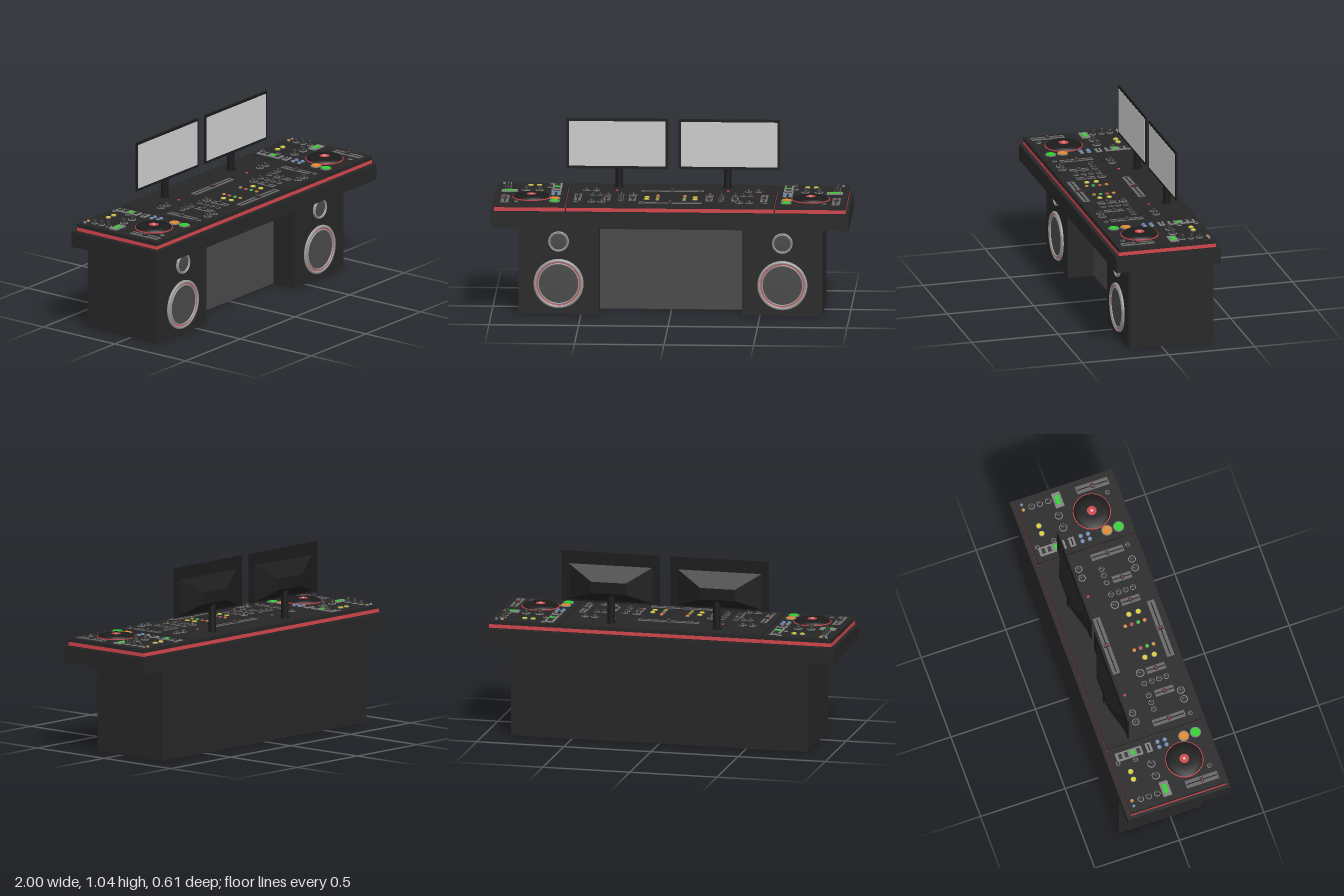
import * as THREE from 'three';

const mats = {};
const mat = (color) => (mats[color] ??= new THREE.MeshStandardMaterial({ color, side: THREE.DoubleSide }));
const DARK = 0x262626, BLACK = 0x1b1b1b, PANEL = 0x484848, GREY = 0x808080, RED = 0xd0454c;
const GREEN = 0x2fd02f, ORANGE = 0xe08a30, YELLOW = 0xd8cf35, BLUE = 0x6a8fc0;
const TOP = 0.647; // height of the control surface

function add(parent, name, geometry, color, x = 0, y = 0, z = 0) {
  const mesh = new THREE.Mesh(geometry, mat(color));
  mesh.name = name;
  mesh.position.set(x, y, z);
  parent.add(mesh);
  return mesh;
}

// Box given by its limits on each axis
function box(parent, name, color, x0, x1, y0, y1, z0, z1) {
  return add(parent, name, new THREE.BoxGeometry(x1 - x0, y1 - y0, z1 - z0), color,
    (x0 + x1) / 2, (y0 + y1) / 2, (z0 + z1) / 2);
}

function disc(parent, name, color, x, z, r, h, y = TOP, top = r) {
  return add(parent, name, new THREE.CylinderGeometry(top, r, h, 24), color, x, y + h / 2, z);
}

const lathe = (points) => new THREE.LatheGeometry(points.map((p) => new THREE.Vector2(...p)), 48);

// Rotary knob: grey collar, tapered dark cap and pointer
function knob(parent, x, z, r = 0.02, h = 0.016) {
  const g = new THREE.Group();
  g.name = 'knob';
  parent.add(g);
  disc(g, 'knobCollar', GREY, x, z, r, 0.004);
  disc(g, 'knobCap', 0x333333, x, z, r * 0.8, h, TOP, r * 0.62);
  box(g, 'knobPointer', GREY, x - 0.0015, x + 0.0015, TOP + h, TOP + h + 0.001, z - r * 0.55, z);
}

// Lit push button in a grey bezel
function button(parent, color, x, z, r) {
  disc(parent, 'buttonBezel', GREY, x, z, r, 0.004);
  disc(parent, 'buttonCap', color, x, z, r * 0.82, 0.008);
}

// Fader: plate with a dark slot and a cap, running along its longer side
function fader(parent, x, z, w, d, capColor = 0x333333) {
  const g = new THREE.Group();
  g.name = 'fader';
  g.position.set(x, TOP, z);
  parent.add(g);
  const wide = w > d, sw = wide ? w * 0.94 : 0.006, sd = wide ? 0.006 : d * 0.94;
  box(g, 'faderPlate', 0x666666, -w / 2, w / 2, 0, 0.003, -d / 2, d / 2);
  box(g, 'faderSlot', BLACK, -sw / 2, sw / 2, 0.001, 0.004, -sd / 2, sd / 2);
  const cw = wide ? 0.018 : w * 0.6, cd = wide ? d * 0.7 : 0.018;
  box(g, 'faderCap', 0x333333, -cw / 2, cw / 2, 0.002, 0.014, -cd / 2, cd / 2);
  const lw = wide ? 0.004 : cw, ld = wide ? cd : 0.004;
  box(g, 'faderMark', capColor, -lw / 2, lw / 2, 0.014, 0.015, -ld / 2, ld / 2);
}

// Layered console: dark foot, red band, dark faceplate
function console_(parent, x0, x1) {
  box(parent, 'consoleFoot', BLACK, x0 + 0.004, x1 - 0.004, 0.6, 0.605, -0.276, 0.28);
  box(parent, 'consoleBand', RED, x0, x1, 0.604, 0.625, -0.28, 0.284);
  box(parent, 'consoleTop', DARK, x0, x1, 0.625, TOP, -0.28, 0.284);
}

// Speaker driver facing +z: metal rim, red ring, inner rim and cone
function driver(parent, name, x, y, r, redRing) {
  const g = new THREE.Group();
  g.name = name;
  g.position.set(x, y, 0.187);
  g.rotation.x = Math.PI / 2;
  parent.add(g);
  add(g, 'rim', lathe([[r, 0], [r, 0.008], [r * 0.96, 0.015], [r * 0.9, 0.015], [r * 0.87, 0.009]]), 0x999999);
  add(g, 'accentRing', lathe([[r * 0.9, 0.008], [r * 0.87, 0.012], [r * 0.83, 0.008]]), redRing ? RED : GREY);
  add(g, 'innerRim', lathe([[r * 0.85, 0.006], [r * 0.83, 0.013], [r * 0.79, 0.013], [r * 0.78, 0.006]]), 0x999999);
  add(g, 'cone', lathe([[r * 0.86, 0.007], [r * 0.5, 0.008], [0, 0.009]]), PANEL);
}

// Side deck with a jog wheel; s is the side (+1 left, -1 right)
function sideDeck(root, s) {
  const g = new THREE.Group();
  g.name = s > 0 ? 'leftDeck' : 'rightDeck';
  root.add(g);
  console_(g, ...(s > 0 ? [0.588, 0.982] : [-0.982, -0.588]));

  const jx = s * 0.78, jz = 0.107;
  disc(g, 'jogRing', RED, jx, jz, 0.107, 0.005);
  add(g, 'jogWheel', lathe([[0.102, 0], [0.102, 0.007], [0.085, 0.017], [0.04, 0.019], [0, 0.019]]), BLACK, jx, TOP, jz);
  disc(g, 'jogLabel', RED, jx, jz, 0.027, 0.0205);
  disc(g, 'jogSpindle', 0xcccccc, jx, jz, 0.008, 0.022);

  button(g, GREEN, s * 0.647, 0.219, 0.031);
  button(g, ORANGE, s * 0.647, 0.15, 0.031);
  for (const x of [0.631, 0.663]) for (const z of [0, 0.043]) button(g, BLUE, s * x, z, 0.012);
  for (const x of [0.749, 0.797]) button(g, YELLOW, s * x, -0.2, 0.016);
  button(g, BLUE, s * 0.947, -0.25, 0.008);
  button(g, ORANGE, s * 0.915, -0.25, 0.01);

  fader(g, s * 0.925, 0.16, 0.045, 0.19, RED);
  box(g, 'displayFrame', GREY, s * 0.908 - 0.045, s * 0.908 + 0.045, TOP, TOP + 0.006, -0.075, -0.025);
  box(g, 'display', GREEN, s * 0.908 - 0.028, s * 0.908 + 0.028, TOP, TOP + 0.008, -0.062, -0.038);
  for (const x of [0.743, 0.818]) knob(g, s * x, -0.075, 0.023, 0.026);
  for (const z of [-0.2, -0.152, -0.102]) knob(g, s * 0.92, z, 0.018, z < -0.19 ? 0.02 : 0.028);
  for (const [x, z] of [[0.86, 0.227], [0.68, -0.25], [0.69, -0.15]]) knob(g, s * x, z, 0.013, 0.01);

  // Meter strip and small panel beside it
  const mx = s * 0.647;
  box(g, 'meterPlate', GREY, mx - 0.026, mx + 0.026, TOP, TOP + 0.005, -0.25, -0.096);
  [-0.225, -0.19, -0.152, -0.118].forEach((z, i) =>
    box(g, 'meterKey', i === 2 ? GREEN : 0x333333, mx - 0.015, mx + 0.015, TOP, TOP + 0.009, z - 0.01, z + 0.01));
  box(g, 'smallPlate', GREY, mx - 0.028, mx + 0.028, TOP, TOP + 0.005, -0.073, -0.04);
  box(g, 'smallSlot', BLACK, mx - 0.02, mx + 0.02, TOP, TOP + 0.007, -0.06, -0.053);
}

// Central mixer with mirrored controls
function mixer(root) {
  const g = new THREE.Group();
  g.name = 'mixer';
  root.add(g);
  console_(g, -0.58, 0.58);
  box(g, 'rearPlate', DARK, -0.57, 0.57, TOP, TOP + 0.002, -0.272, -0.03);
  box(g, 'frontPlate', DARK, -0.57, 0.57, TOP, TOP + 0.002, -0.018, 0.274);
  fader(g, 0, -0.08, 0.35, 0.042, RED);
  fader(g, 0, 0.24, 0.35, 0.042, RED);
  for (const s of [-1, 1]) {
    fader(g, s * 0.52, 0.107, 0.04, 0.19, RED);
    for (const x of [0.358, 0.214]) fader(g, s * x, 0.137, 0.04, 0.11, RED);
    for (const x of [0.425, 0.48]) knob(g, s * x, -0.075, 0.021);
    for (const x of [0.355, 0.4, 0.44]) knob(g, s * x, 0.045, 0.016);
    for (const z of [0.045, 0.09, 0.132, 0.175]) knob(g, s * 0.28, z, 0.016);
    knob(g, s * 0.214, 0.045, 0.024);
    for (const x of [0.385, 0.44]) knob(g, s * x, 0.225, 0.022);
    knob(g, s * 0.53, 0.23, 0.013, 0.01);
    for (const z of [0.1, 0.155]) button(g, YELLOW, s * 0.135, z, 0.016);
    [ORANGE, RED, GREEN, ORANGE].forEach((c, i) => button(g, c, s * 0.075, 0.058 + i * 0.038, 0.011));
    disc(g, 'indicator', RED, s * 0.31, -0.08, 0.007, 0.006);
  }
}

// Monitor: thin framed screen, tapered back shell and post
function monitor(root, s) {
  const g = new THREE.Group();
  g.name = s > 0 ? 'leftMonitor' : 'rightMonitor';
  g.position.x = s * 0.313;
  root.add(g);
  box(g, 'frame', BLACK, -0.283, 0.283, 0.758, 1.043, -0.164, -0.156);
  box(g, 'screen', 0xbcbcbc, -0.269, 0.269, 0.773, 1.028, -0.157, -0.1545);
  const shell = new THREE.BoxGeometry(1, 1, 1);
  const p = shell.attributes.position;
  for (let i = 0; i < p.count; i++) {
    const back = p.getZ(i) < 0, up = p.getY(i) > 0;
    p.setXYZ(i, Math.sign(p.getX(i)) * (back ? 0.1 : 0.245),
      back ? (up ? 0.885 : 0.82) : (up ? 0.975 : 0.765), back ? -0.215 : -0.162);
  }
  shell.computeVertexNormals();
  add(g, 'backShell', shell, BLACK);
  add(g, 'post', new THREE.CylinderGeometry(0.021, 0.021, 0.2, 20), BLACK, -s * 0.01, 0.745, -0.185);
  disc(g, 'postFoot', BLACK, -s * 0.01, -0.185, 0.028, 0.006);
}

export function createModel() {
  const root = new THREE.Group();
  root.name = 'musicDesk';

  // Desk
  box(root, 'deskTop', DARK, -1, 1, 0.51, 0.6, -0.303, 0.303);
  box(root, 'deskBody', DARK, -0.85, 0.85, 0, 0.51, -0.303, 0.036);
  box(root, 'kneePanel', PANEL, -0.4, 0.4, 0.002, 0.51, 0.034, 0.04);

  for (const s of [-1, 1]) {
    // Speaker cabinet and its drivers
    const g = new THREE.Group();
    g.name = s > 0 ? 'leftSpeaker' : 'rightSpeaker';
    root.add(g);
    const limits = (e) => (s > 0 ? [0.4 + e, 0.85 - e] : [-0.85 + e, -0.4 - e]);
    box(g, 'cabinet', DARK, ...limits(0), 0, 0.51, 0.03, 0.185);
    box(g, 'baffle', DARK, ...limits(0.007), 0.007, 0.503, 0.18, 0.189);
    driver(g, 'woofer', s * 0.625, 0.173, 0.14, true);
    driver(g, 'tweeter', s * 0.625, 0.413, 0.058, false);
    sideDeck(root, s);
    monitor(root, s);
  }
  mixer(root);
  return root;
}
